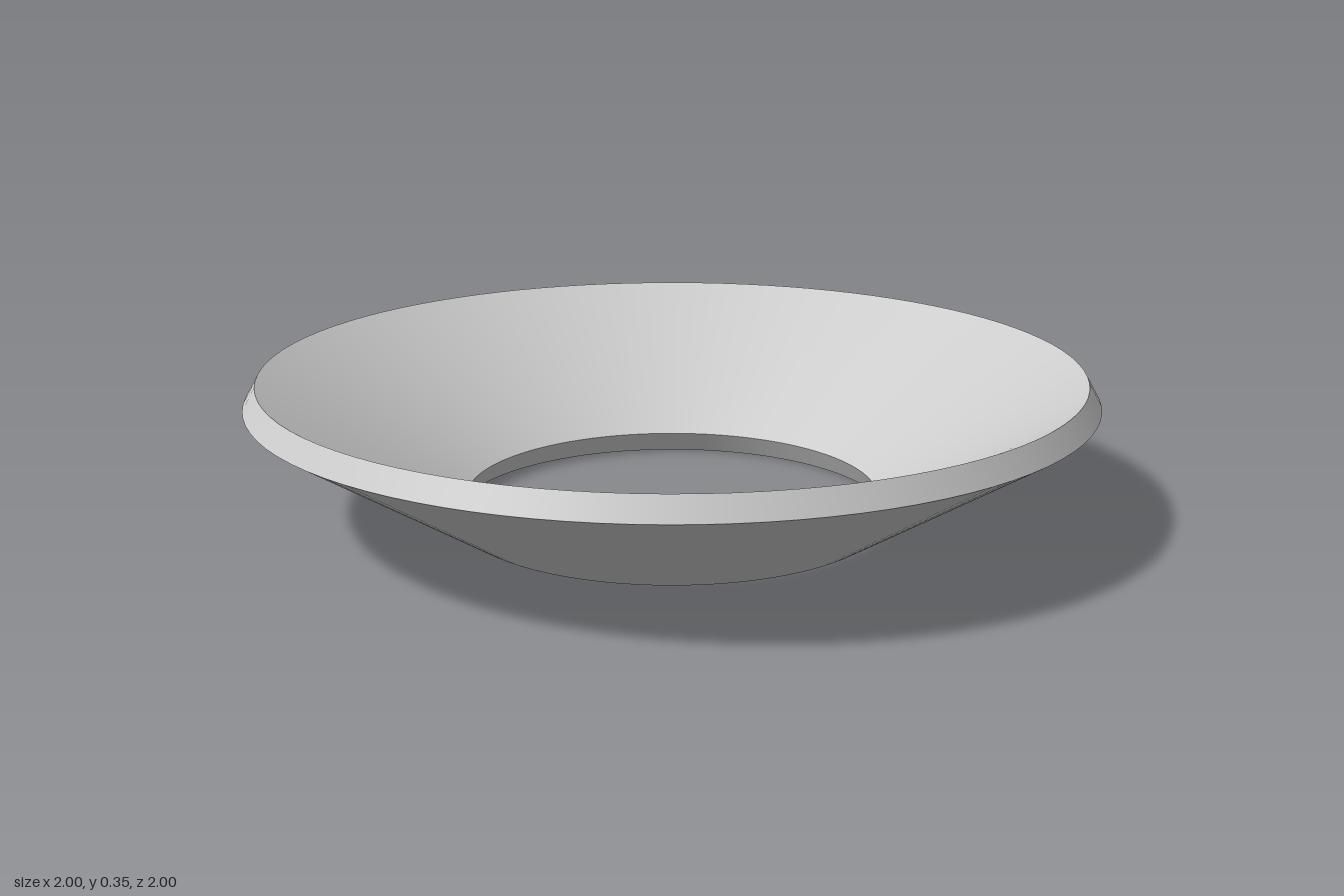
import * as THREE from 'three';

// Tilted rectangular cross-section (radius, height), counter-clockwise
const profile = [[0.52, 0], [1, 0.3], [0.97, 0.353], [0.49, 0.053]];
const bandNames = ['outerCone', 'topRim', 'innerCone', 'bottomRim'];

export function createModel() {
  const group = new THREE.Group();
  group.name = 'conicalRing';
  const material = new THREE.MeshStandardMaterial({ color: 0xcccccc });

  // One lathed band per side keeps the four edges sharp and the cones smooth
  profile.forEach((point, i) => {
    const next = profile[(i + 1) % profile.length];
    const points = [new THREE.Vector2(...point), new THREE.Vector2(...next)];
    const band = new THREE.Mesh(new THREE.LatheGeometry(points, 96), material);
    band.name = bandNames[i];
    group.add(band);
  });

  return group;
}
